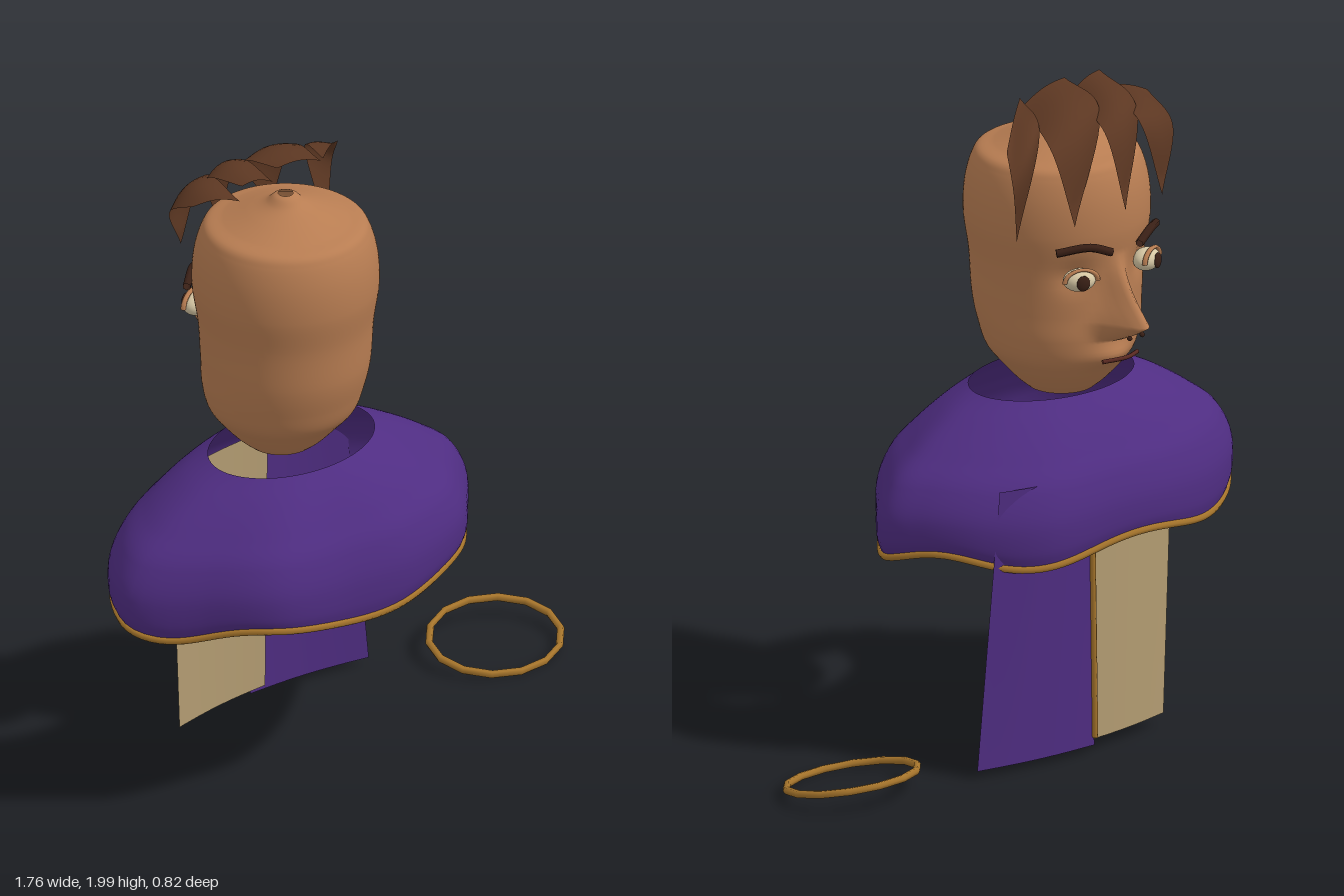
import * as THREE from 'three';
import { ParametricGeometry } from 'three/addons/geometries/ParametricGeometry.js';

const V = (x, y, z) => new THREE.Vector3(x, y, z);
const curve = (pts, closed = false) => new THREE.CatmullRomCurve3(pts.map(p => V(...p)), closed);
const bell = (d, w) => Math.exp(-((d / w) ** 2));
const CX = -0.24; // axis of head and mantle

const mat = (name, color, open = true) => {
  const m = new THREE.MeshStandardMaterial({ color });
  m.name = name;
  if (open) m.side = THREE.DoubleSide;
  return m;
};

export function createModel() {
  const root = new THREE.Group();
  root.name = 'bust';
  const skin = mat('skin', 0xb87d52);
  const purple = mat('purple cloth', 0x4f2d82);
  const beige = mat('beige cloth', 0xb39c72);
  const gold = mat('gold', 0xa8762c);
  const hairMat = mat('hair brown', 0x5c3722);
  const dark = mat('dark brown', 0x3a2016);
  const white = mat('eye white', 0xd6c7a4);
  const lip = mat('lip', 0x5a2a22);

  const add = (name, geo, material, parent = root) => {
    const m = new THREE.Mesh(geo, material);
    m.name = name;
    parent.add(m);
    return m;
  };
  const surface = (fn, nu, nv) =>
    new ParametricGeometry((u, v, t) => t.copy(fn(u, v)), nu, nv);
  const tube = (name, path, r, n, material, closed = false) =>
    add(name, new THREE.TubeGeometry(path, n, r, 6, closed), material);

  // Head: radius, height and depth shift, with the nose pulled out of the face
  const headProfile = curve([
    [0.1, 1.055, -0.02], [0.135, 1.085, -0.02], [0.185, 1.14, -0.02], [0.222, 1.19, -0.015],
    [0.242, 1.26, -0.01], [0.252, 1.34, 0], [0.262, 1.48, 0], [0.278, 1.6, 0],
    [0.272, 1.7, 0], [0.252, 1.77, 0], [0.236, 1.795, 0], [0.185, 1.812, 0],
    [0.12, 1.838, 0], [0.06, 1.865, 0], [0.035, 1.887, 0], [0.022, 1.893, 0],
  ]);
  const noseOut = y => {
    if (y > 1.54 || y < 1.25) return 0;
    return y > 1.325 ? 0.15 * ((1.54 - y) / 0.215) ** 1.4 : 0.15 * ((y - 1.25) / 0.075) ** 0.8;
  };
  add('head', surface((u, v) => {
    const p = headProfile.getPoint(v), a = u * Math.PI * 2;
    const dx = p.x * Math.sin(a);
    let z = p.z + p.x * Math.cos(a);
    if (z < -0.05) {
      const w = 0.03 + 0.022 * bell(p.y - 1.31, 0.08);
      z -= noseOut(p.y) * bell(dx, w);
      z -= 0.025 * bell(p.y - 1.2, 0.035) * bell(dx, 0.08);
      z += 0.02 * bell(p.y - 1.47, 0.05) * bell(Math.abs(dx) - 0.13, 0.05);
    }
    return V(CX + dx, p.y, z);
  }, 96, 90), skin);

  // Face details on both sides
  for (const s of [-1, 1]) {
    const eye = new THREE.Group();
    eye.name = s > 0 ? 'leftEye' : 'rightEye';
    eye.position.set(CX + s * 0.135, 1.47, -0.245);
    eye.rotation.y = -s * 0.4;
    root.add(eye);
    const ball = add('eyeball', new THREE.SphereGeometry(1, 20, 14), white, eye);
    ball.scale.set(0.05, 0.034, 0.04);
    const iris = add('iris', new THREE.SphereGeometry(1, 16, 10), dark, eye);
    iris.scale.set(0.021, 0.024, 0.009);
    iris.position.z = -0.036;
    const lid = add('eyelid', new THREE.TorusGeometry(0.052, 0.008, 6, 16, Math.PI), skin, eye);
    lid.scale.y = 0.7;
    lid.position.z = -0.018;
    tube('eyebrow', curve([
      [CX + s * 0.055, 1.552, -0.30], [CX + s * 0.12, 1.575, -0.275], [CX + s * 0.2, 1.56, -0.215],
    ]), 0.013, 12, dark);
    const nostril = add('nostril', new THREE.SphereGeometry(0.008, 8, 6), dark);
    nostril.position.set(CX + s * 0.025, 1.285, -0.345);
  }
  tube('mouth', curve([
    [CX - 0.07, 1.203, -0.275], [CX, 1.208, -0.302], [CX + 0.07, 1.203, -0.275],
  ]), 0.007, 12, lip);

  // Hair tufts: left root, right root, left shoulder, right shoulder, tip
  const tufts = [
    [[-0.53, 1.92, -0.08], [-0.42, 1.93, 0], [-0.52, 1.85, -0.2], [-0.36, 1.9, -0.23], [-0.41, 1.67, -0.275]],
    [[-0.42, 1.985, 0.01], [-0.28, 1.94, -0.01], [-0.4, 1.93, -0.17], [-0.22, 1.9, -0.23], [-0.24, 1.67, -0.3]],
    [[-0.28, 1.995, 0.01], [-0.1, 1.95, 0], [-0.27, 1.95, -0.15], [-0.02, 1.88, -0.22], [-0.05, 1.66, -0.285]],
    [[-0.11, 1.97, 0.02], [0.09, 1.89, -0.14], [-0.05, 1.93, -0.13], [0.11, 1.79, -0.19], [0.05, 1.6, -0.14]],
  ];
  for (const [l0, r0, l1, r1, tip] of tufts) {
    const left = curve([l0, l1, tip]), right = curve([r0, r1, tip]);
    add('hairTuft', surface((u, v) => {
      const p = left.getPoint(v).lerp(right.getPoint(v), u);
      const arch = Math.sin(Math.PI * u) * Math.sin(Math.PI * Math.min(1, v + 0.15)) * 0.03;
      return p.add(V(0, arch * (1 - v), -arch * v));
    }, 10, 20), hairMat);
  }

  // Mantle: collar ellipse swelling into an uneven outline with a wavy hem
  const outline = curve([
    [0.41, 0, 0.05], [0.3, 0, 0.2], [0.15, 0, 0.34], [-0.1, 0, 0.41], [-0.33, 0, 0.39],
    [-0.57, 0, 0.35], [-0.73, 0, 0.2], [-0.88, 0, 0], [-0.76, 0, -0.2], [-0.57, 0, -0.31],
    [-0.36, 0, -0.36], [-0.12, 0, -0.36], [0.1, 0, -0.33], [0.26, 0, -0.22], [0.37, 0, -0.07],
  ], true);
  const swell = curve([
    [0, 1.07, 0], [0.3, 1.015, 0], [0.62, 0.94, 0], [0.88, 0.86, 0],
    [1, 0.77, 0], [1, 0.7, 0], [0.95, 0.655, 0],
  ]);
  const mantle = (u, v) => {
    const o = outline.getPoint(u % 1), s = swell.getPoint(v);
    const a = Math.atan2(o.z / 0.39, (o.x - CX) / 0.645);
    const p = V(CX + 0.28 * Math.cos(a), 0, 0.025 + 0.195 * Math.sin(a)).lerp(o, s.x);
    p.y = s.y + 0.022 * v * v * Math.sin(a * 5 + 3.1);
    return p;
  };
  add('mantle', surface(mantle, 96, 32), purple);
  const hem = Array.from({ length: 64 }, (_, i) => mantle(i / 64, 1));
  tube('hemTrim', new THREE.CatmullRomCurve3(hem, true), 0.012, 128, gold, true);

  // Hanging cloth panels at the front of the body
  const panel = (name, bottom, top, y0, y1, z0, z1, bow, material) =>
    add(name, surface((u, v) => {
      const x = THREE.MathUtils.lerp(
        THREE.MathUtils.lerp(bottom[0], bottom[1], u), THREE.MathUtils.lerp(top[0], top[1], u), v);
      return V(x, y0 + (y1 - y0) * v, THREE.MathUtils.lerp(z0, z1, u) - bow * Math.sin(Math.PI * u));
    }, 12, 6), material);
  panel('purplePanel', [-0.105, 0.305], [-0.09, 0.215], 0.025, 0.88, -0.31, -0.245, 0.012, purple);
  panel('beigePanel', [-0.415, -0.055], [-0.45, -0.045], 0.04, 0.9, -0.275, -0.3, 0.01, beige);
  tube('panelTrim', new THREE.LineCurve3(V(-0.105, 0.05, -0.314), V(-0.094, 0.72, -0.314)), 0.009, 1, gold);

  // Loose faceted ring lying tilted beside the body
  const ring = add('ring', new THREE.TorusGeometry(0.213, 0.012, 6, 14).rotateX(Math.PI / 2), gold);
  ring.scale.z = 0.84;
  ring.rotation.x = 0.18;
  ring.position.set(0.648, 0.045, -0.07);

  return root;
}
